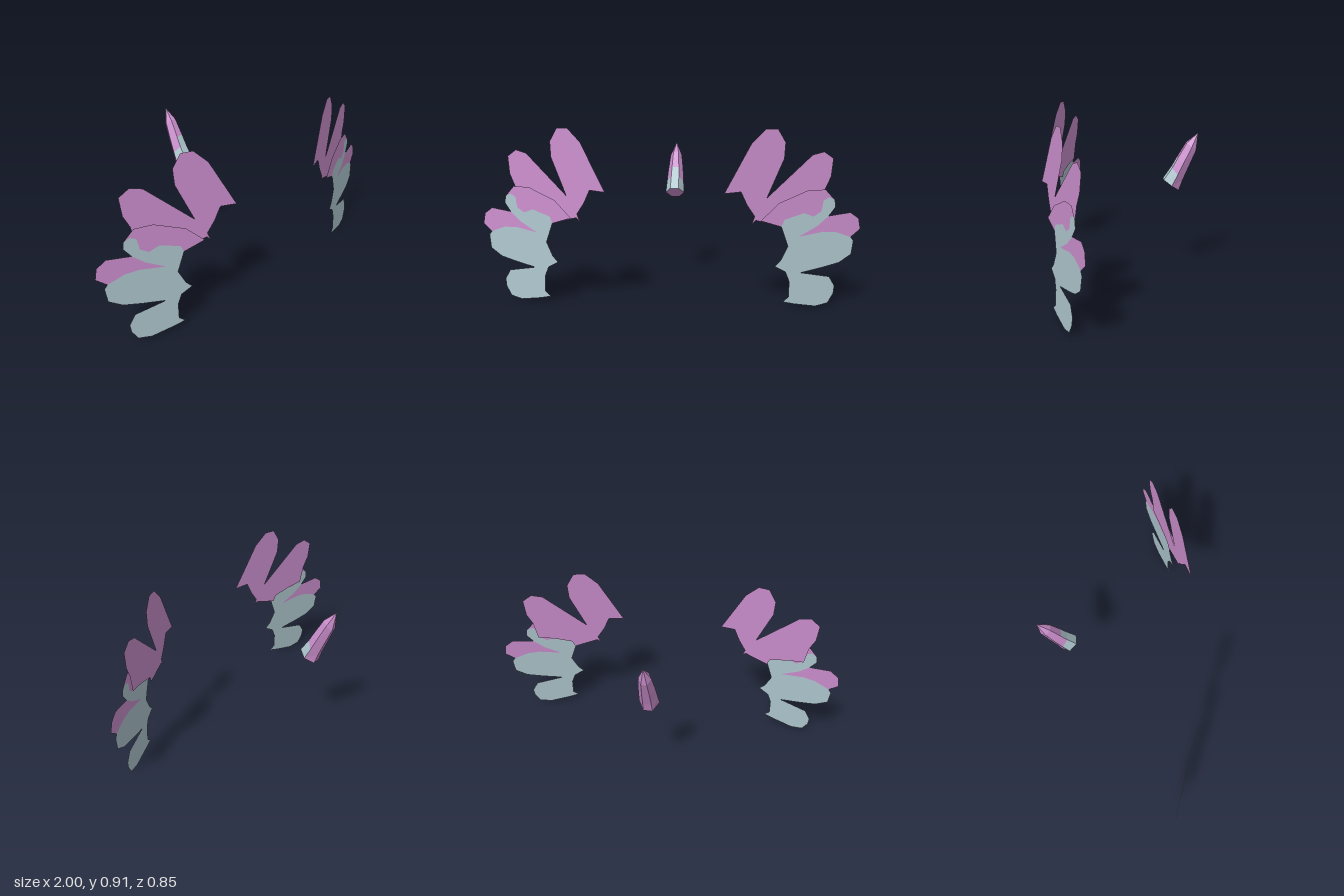
import * as THREE from 'three';

const mauve = new THREE.MeshStandardMaterial({ color: 0xca8ecc, side: THREE.DoubleSide });
mauve.name = 'mauve';
const paleBlue = new THREE.MeshStandardMaterial({ color: 0xaec6ce, side: THREE.DoubleSide });
paleBlue.name = 'paleBlue';

// Slanted sheet: depth falls away towards the outside and the top
const depth = (x, y, layer) => 0.425 - 0.34 * (Math.abs(x) - 0.3) - 0.05 * (y - 0.6) + layer;

function sheet(name, material, points, side, layer) {
  const shape = new THREE.Shape(points.map(([x, y]) => new THREE.Vector2(x * side, y)));
  const geometry = new THREE.ShapeGeometry(shape);
  const p = geometry.attributes.position;
  for (let i = 0; i < p.count; i++) p.setZ(i, depth(p.getX(i), p.getY(i), layer));
  geometry.computeVertexNormals();
  const mesh = new THREE.Mesh(geometry, material);
  mesh.name = name;
  return mesh;
}

// Edge where the mauve feathers meet the pale ones
const seam = [[0.585, 0.42], [0.6, 0.455], [0.65, 0.47], [0.7, 0.485], [0.75, 0.465],
  [0.79, 0.49], [0.8, 0.545], [0.83, 0.56], [0.86, 0.545]];

const upperFeathers = [[0.297, 0.594], [0.43, 0.84], [0.5, 0.908], [0.56, 0.908], [0.6, 0.84],
  [0.595, 0.76], [0.51, 0.565], [0.74, 0.775], [0.8, 0.79], [0.85, 0.755], [0.84, 0.663],
  [0.81, 0.6], [0.79, 0.5], [0.7, 0.485], [0.6, 0.455], [0.585, 0.42], [0.455, 0.455],
  [0.435, 0.435], [0.45, 0.475], [0.41, 0.535], [0.38, 0.6]];

const middleFeather = [[0.48, 0.455], [0.57, 0.54], [0.72, 0.6], [0.81, 0.6],
  ...seam.slice().reverse()];

const outerFeather = [[0.675, 0.365], [0.77, 0.415], [0.83, 0.465], [0.945, 0.478], [0.99, 0.445],
  [1, 0.39], [0.95, 0.35], [0.87, 0.38], [0.8, 0.385]];

const lowerFeathers = [...seam, [0.865, 0.51], [0.83, 0.465], [0.77, 0.415], [0.675, 0.365],
  [0.8, 0.385], [0.87, 0.38], [0.95, 0.35], [0.965, 0.33], [0.955, 0.26], [0.89, 0.22],
  [0.8, 0.2], [0.69, 0.18], [0.84, 0.15], [0.87, 0.1], [0.865, 0.06], [0.835, 0.012],
  [0.77, 0], [0.66, 0.02], [0.6, 0.035], [0.63, 0.06], [0.63, 0.14], [0.61, 0.19],
  [0.555, 0.22], [0.585, 0.25], [0.62, 0.32]];

function featherFan(name, side) {
  const fan = new THREE.Group();
  fan.name = name;
  fan.add(
    sheet('upperFeathers', mauve, upperFeathers, side, 0),
    sheet('middleFeather', mauve, middleFeather, side, 0.022),
    sheet('outerFeather', mauve, outerFeather, side, 0.022),
    sheet('lowerFeathers', paleBlue, lowerFeathers, side, 0.022),
  );
  return fan;
}

// Six-sided spike, lofted through rings of [half width, top z, top y, bottom z, bottom y]
function tailSpike() {
  const rings = [
    [0.055, -0.234, 0.53, -0.318, 0.47],
    [0.05, -0.28, 0.597, -0.338, 0.525],
    [0.045, -0.31, 0.65, -0.372, 0.602],
    [0.034, -0.36, 0.735, -0.412, 0.692],
    [0.002, -0.422, 0.788, -0.424, 0.786],
  ].map(([w, tz, ty, bz, by]) =>
    [[0.45, 0], [1, 0.48], [0.45, 1], [-0.45, 1], [-1, 0.48], [-0.45, 0]].map(([x, t]) =>
      [x * w, ty + (by - ty) * t, tz + (bz - tz) * t]));
  const skin = [], patch = [];
  for (let r = 0; r < rings.length - 1; r++) {
    for (let i = 0; i < 6; i++) {
      const j = (i + 1) % 6;
      const a = rings[r][i], b = rings[r][j], c = rings[r + 1][j], d = rings[r + 1][i];
      // The pale patch covers the upper faces near the base and runs up the top
      const pale = (r === 0 && (i === 0 || i >= 4)) || (r === 1 && i === 5);
      (pale ? patch : skin).push(...a, ...b, ...c, ...a, ...c, ...d);
    }
  }
  for (let i = 1; i < 5; i++) skin.push(...rings[0][0], ...rings[0][i + 1], ...rings[0][i]);

  const spike = new THREE.Group();
  spike.name = 'tailSpike';
  for (const [name, data, material] of [['spikeSkin', skin, mauve], ['spikePatch', patch, paleBlue]]) {
    const geometry = new THREE.BufferGeometry();
    geometry.setAttribute('position', new THREE.Float32BufferAttribute(data, 3));
    geometry.computeVertexNormals();
    const mesh = new THREE.Mesh(geometry, material);
    mesh.name = name;
    spike.add(mesh);
  }
  return spike;
}

export function createModel() {
  const model = new THREE.Group();
  model.name = 'feathersAndSpike';
  model.add(featherFan('leftFan', 1), featherFan('rightFan', -1), tailSpike());
  return model;
}
